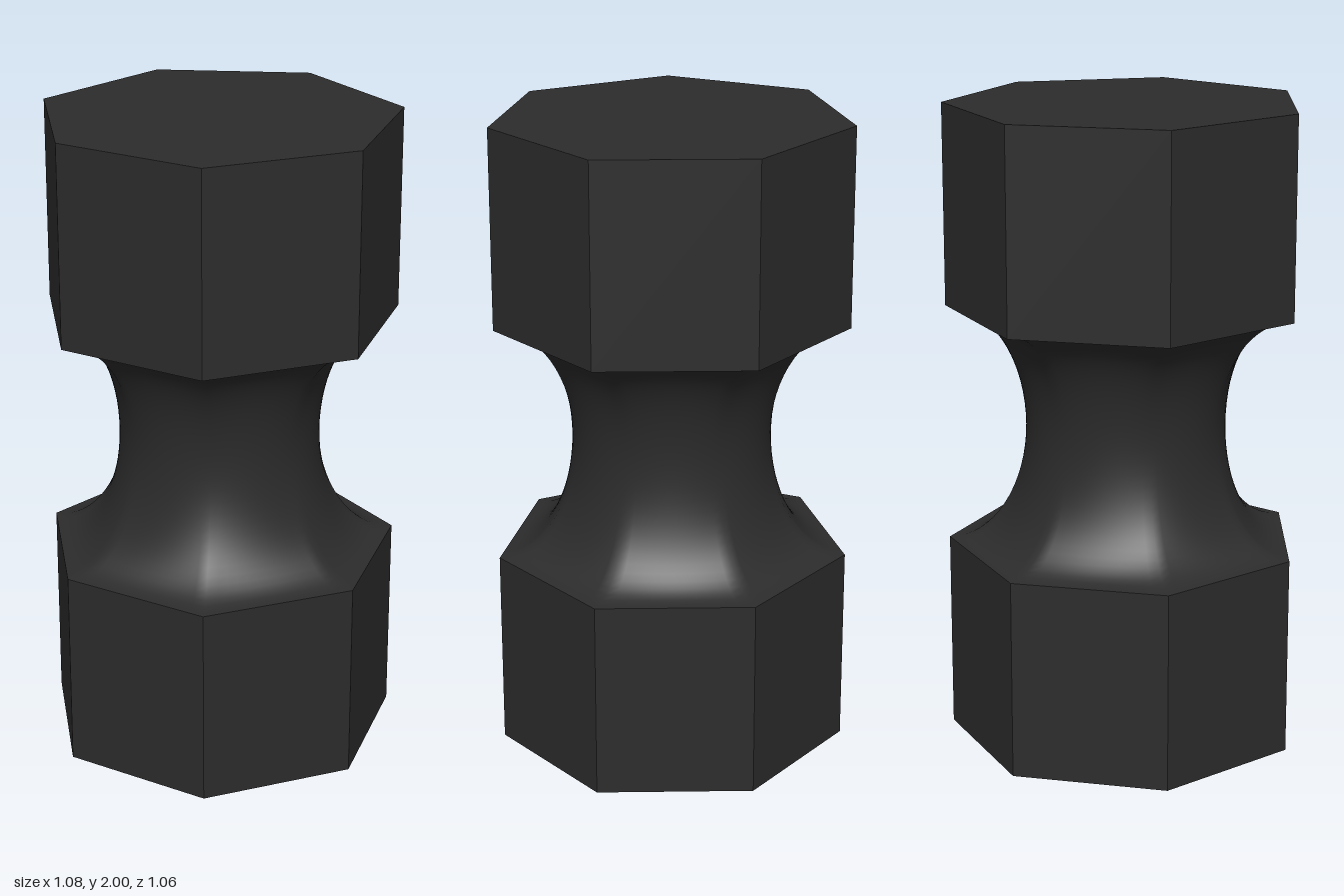
import * as THREE from 'three';

const SIDES = 7, RADIUS = 0.555, NECK_RADIUS = 0.31;
const BLOCK_HEIGHT = 0.625, HEIGHT = 2;
const material = new THREE.MeshStandardMaterial({ color: 0x2c2c2c });
const flatMaterial = new THREE.MeshStandardMaterial({ color: 0x2c2c2c, flatShading: true });

// Distance from the axis to the heptagon's edge, with a corner at the back
function heptagonRadius(theta) {
  const step = (2 * Math.PI) / SIDES;
  const local = (((theta - Math.PI) % step) + step) % step;
  return (RADIUS * Math.cos(step / 2)) / Math.cos(local - step / 2);
}

// Waist that blends from heptagon to circle and back along a half ellipse
function neckGeometry() {
  const columns = SIDES * 12, rows = 32;
  const halfHeight = HEIGHT / 2 - BLOCK_HEIGHT;
  const positions = [], indices = [];
  for (let j = 0; j <= rows; j++) {
    const phi = (j / rows) * Math.PI;
    const y = HEIGHT / 2 - halfHeight * Math.cos(phi);
    for (let i = 0; i < columns; i++) {
      const theta = Math.PI + (i / columns) * 2 * Math.PI;
      const r = THREE.MathUtils.lerp(heptagonRadius(theta + 1e-9), NECK_RADIUS, Math.sin(phi));
      positions.push(r * Math.sin(theta), y, r * Math.cos(theta));
      if (j < rows) {
        const a = j * columns + i, b = j * columns + ((i + 1) % columns);
        indices.push(a, b, b + columns, a, b + columns, a + columns);
      }
    }
  }
  const geometry = new THREE.BufferGeometry();
  geometry.setAttribute('position', new THREE.Float32BufferAttribute(positions, 3));
  geometry.setIndex(indices);
  geometry.computeVertexNormals();
  return geometry;
}

export function createModel() {
  const model = new THREE.Group();
  model.name = 'waistedHeptagonalColumn';

  // Two matching heptagonal blocks
  const block = new THREE.CylinderGeometry(RADIUS, RADIUS, BLOCK_HEIGHT, SIDES, 1, false, Math.PI);
  for (const [name, y] of [['lowerBlock', BLOCK_HEIGHT / 2], ['upperBlock', HEIGHT - BLOCK_HEIGHT / 2]]) {
    const mesh = new THREE.Mesh(block, flatMaterial);
    mesh.name = name;
    mesh.position.y = y;
    model.add(mesh);
  }

  // Smooth neck between them
  const neck = new THREE.Mesh(neckGeometry(), material);
  neck.name = 'neck';
  model.add(neck);

  // Centre the heptagon's depth on z = 0
  model.children.forEach((part) => {
    part.position.z = (RADIUS * (1 - Math.cos(Math.PI / SIDES))) / 2;
  });
  return model;
}
